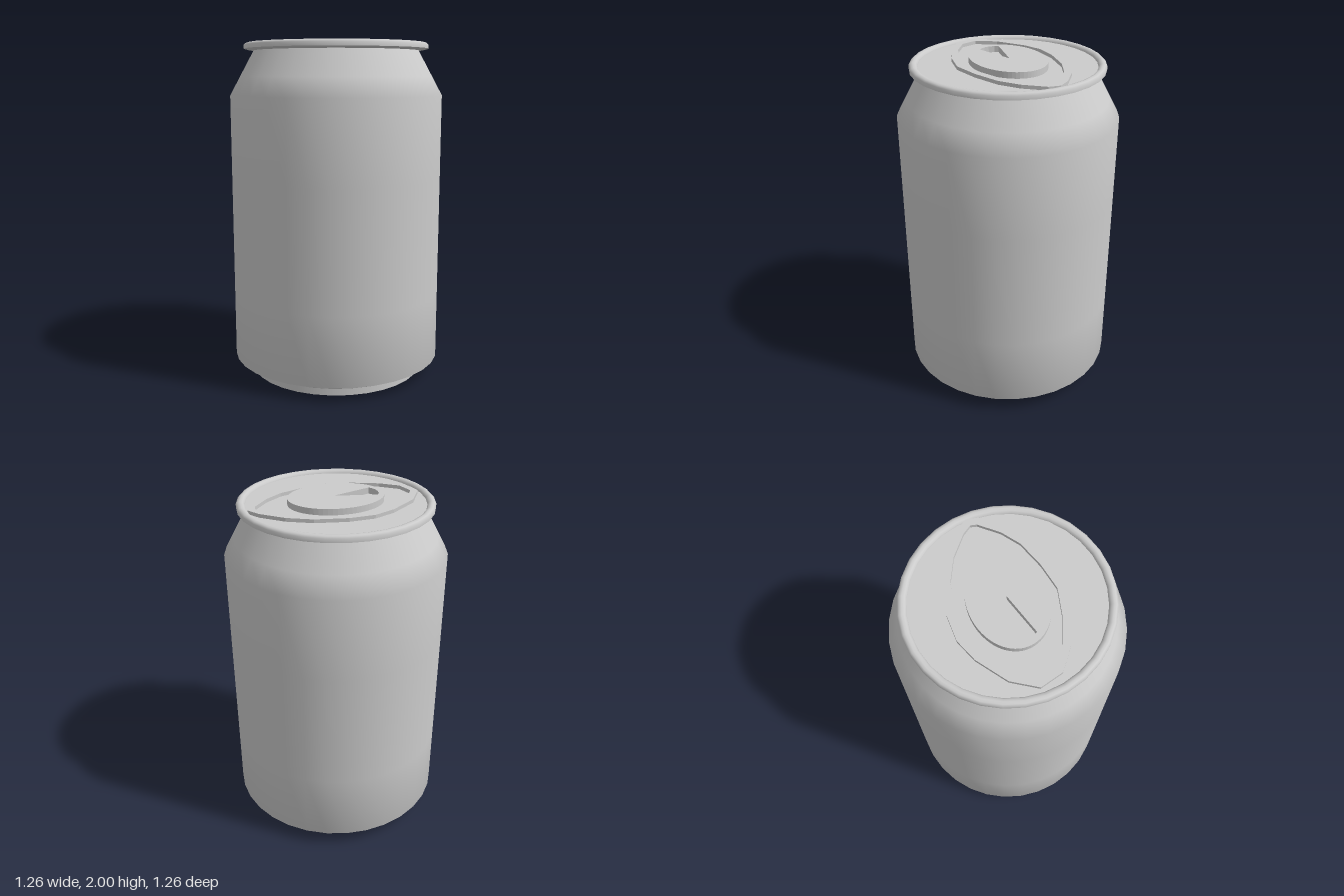
import * as THREE from 'three';

const SIDES = 32;
const LID_Y = 1.965;

export function createModel() {
  const group = new THREE.Group();
  const material = new THREE.MeshStandardMaterial({ color: 0xcccccc, side: THREE.DoubleSide });

  const add = (name, geometry) => {
    const mesh = new THREE.Mesh(geometry, material);
    mesh.name = name;
    group.add(mesh);
    return mesh;
  };
  const points = (list) => list.map(([x, y]) => new THREE.Vector2(x, y));
  const turned = (name, profile) => add(name, new THREE.LatheGeometry(points(profile), SIDES));
  // Upright slab from a plan outline drawn as (x, -z)
  const slab = (name, shape, bottom, top) => {
    const geometry = new THREE.ExtrudeGeometry(shape, { depth: top - bottom, bevelEnabled: false, curveSegments: 32 });
    geometry.rotateX(-Math.PI / 2).translate(0, bottom, 0);
    return add(name, geometry);
  };

  // Can wall with tapered bottom and sloping shoulder
  turned('body', [[0.525, 0.04], [0.63, 0.09], [0.63, 0.5], [0.63, 1.2], [0.63, 1.68], [0.57, 1.79], [0.488, 1.94]]);

  // Standing ring and recessed base
  turned('footOuter', [[0.525, 0], [0.525, 0.04]]);
  turned('footEdge', [[0.465, 0], [0.525, 0]]);
  turned('base', [[0, 0.04], [0.46, 0.04], [0.465, 0]]);

  // Rolled seam around the lid
  turned('rimUnderside', [[0.488, 1.94], [0.52, 1.943], [0.545, 1.95]]);
  turned('rim', [[0.545, 1.95], [0.545, 1.972], [0.535, 1.982], [0.522, 1.986], [0.508, 1.982], [0.5, 1.972], [0.498, LID_Y]]);
  turned('lid', [[0.498, LID_Y], [0, LID_Y]]);

  // Raised lens-shaped ridge on the lid
  const outline = points([
    [0.24, 0.4], [0.32, 0.385], [0.358, 0.33], [0.37, 0.19], [0.35, 0.06], [0.28, -0.09],
    [0.19, -0.225], [0.06, -0.31], [-0.09, -0.375], [-0.23, -0.395], [-0.345, -0.33], [-0.38, -0.18],
    [-0.35, 0.01], [-0.3, 0.13], [-0.2, 0.235], [-0.05, 0.335], [0.09, 0.385],
  ]);
  const count = outline.length;
  const inset = outline.map((p, i) => {
    const along = outline[(i + 1) % count].clone().sub(outline[(i + count - 1) % count]).normalize();
    return new THREE.Vector2(p.x + along.y * 0.042, p.y - along.x * 0.042);
  });
  const ridge = new THREE.Shape(outline);
  ridge.holes.push(new THREE.Path(inset));
  slab('lidRidge', ridge, LID_Y - 0.005, 1.985);

  // Oval pull tab with a wedge-shaped finger hole
  const tab = new THREE.Shape();
  tab.absellipse(0, 0, 0.27, 0.205, 0, Math.PI * 2, false, Math.PI / 4);
  tab.holes.push(new THREE.Path(points([
    [0.01, 0.012], [-0.195, -0.12], [-0.19, -0.145], [-0.17, -0.172], [-0.145, -0.19], [-0.12, -0.2], [-0.1, -0.2],
  ])));
  slab('pullTab', tab, LID_Y - 0.005, 2);

  return group;
}
